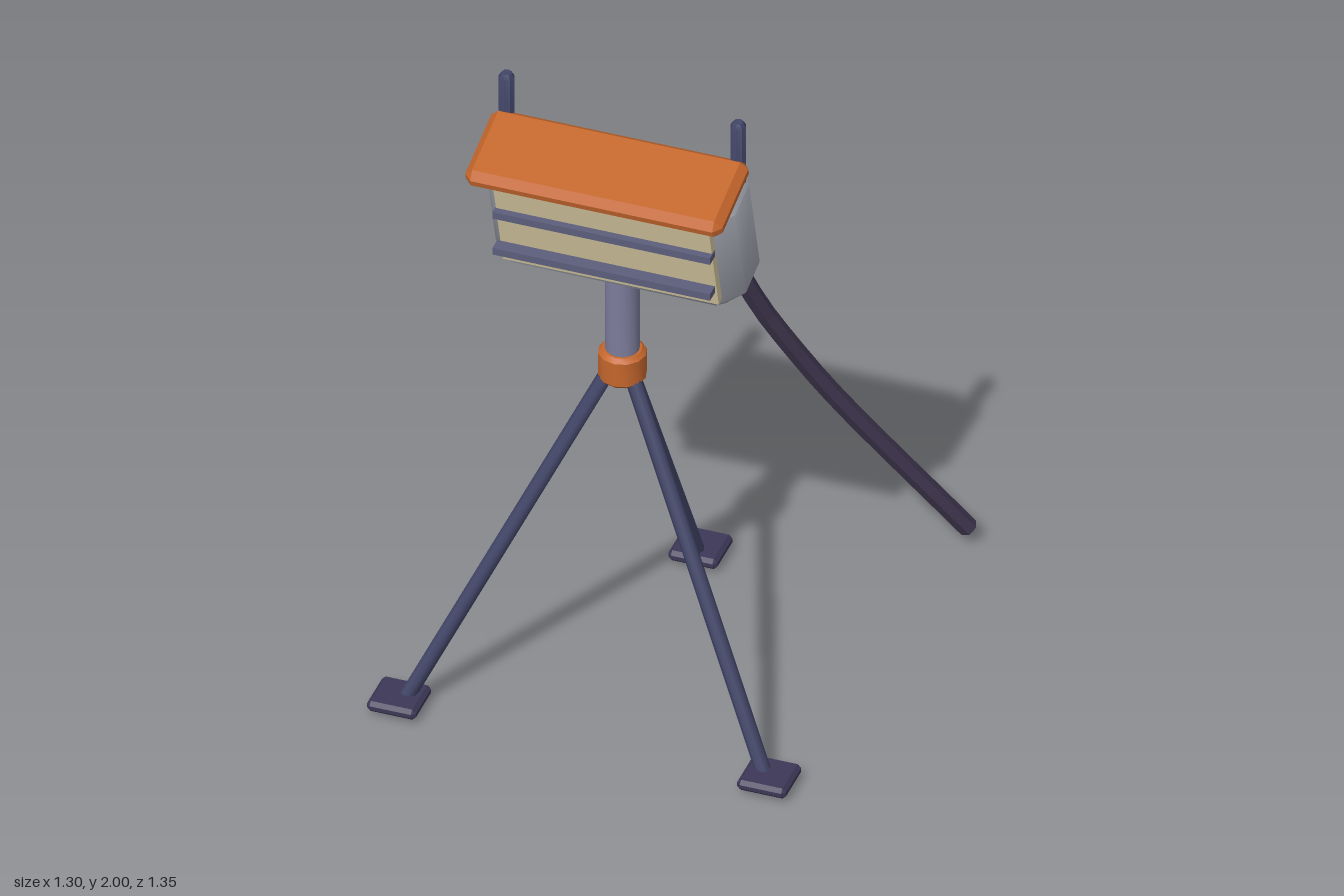
import * as THREE from 'three';
import { ConvexGeometry } from 'three/addons/geometries/ConvexGeometry.js';
import { toCreasedNormals } from 'three/addons/utils/BufferGeometryUtils.js';

const CX = -0.04, CZ = 0.3; // axis of the stand
const mat = (color, flatShading = false) => new THREE.MeshStandardMaterial({ color, flatShading });
const grey = mat(0xa2a5b0), orange = mat(0xc4662c), cream = mat(0xd8cba2), steel = mat(0x7c7c9c);
const legMat = mat(0x424668), dark = mat(0x3d3756), barMat = mat(0x5c5e7c), cableMat = mat(0x40364f, true);

function add(parent, name, geo, material, x = 0, y = 0, z = 0) {
  const m = new THREE.Mesh(geo, material);
  m.name = name;
  m.position.set(x, y, z);
  parent.add(m);
  return m;
}

// Box with every edge cut at 45 degrees
function chamferBox(w, h, d, c) {
  const pts = [], half = [w / 2, h / 2, d / 2];
  for (const sx of [-1, 1]) for (const sy of [-1, 1]) for (const sz of [-1, 1])
    for (let full = 0; full < 3; full++) {
      const p = half.map((v, i) => (i === full ? v : v - c));
      pts.push(new THREE.Vector3(sx * p[0], sy * p[1], sz * p[2]));
    }
  return new ConvexGeometry(pts);
}

// Solid turned from [radius, y] pairs, with crisp rims
function turned(points, sides) {
  const geo = new THREE.LatheGeometry(points.map(([r, y]) => new THREE.Vector2(r, y)), sides);
  return toCreasedNormals(geo, 0.6);
}

// Round bar between two points
function rod(parent, name, a, b, r, material, sides = 8) {
  const dir = b.clone().sub(a);
  const geo = toCreasedNormals(new THREE.CylinderGeometry(r, r, dir.length(), sides), 0.9);
  const m = add(parent, name, geo, material);
  m.position.copy(a).add(b).multiplyScalar(0.5);
  m.quaternion.setFromUnitVectors(new THREE.Vector3(0, 1, 0), dir.normalize());
}

export function createModel() {
  const model = new THREE.Group();
  model.name = 'tripodLamp';

  // Tripod legs and feet
  const legs = [['rightLeg', -0.54, 0.31], ['leftLeg', 0.54, 0.31], ['backLeg', 0, -0.63]];
  for (const [name, dx, dz] of legs) {
    const leg = new THREE.Group();
    leg.name = name;
    model.add(leg);
    rod(leg, name + 'Tube', new THREE.Vector3(CX + dx * 0.05, 1.09, CZ + dz * 0.05),
      new THREE.Vector3(CX + dx * 0.985, 0.015, CZ + dz * 0.985), 0.022, legMat);
    add(leg, name + 'Foot', chamferBox(0.143, 0.034, 0.143, 0.011), dark, CX + dx, 0.036, CZ + dz);
  }

  // Collar and column
  add(model, 'collar', turned([[0, 1.05], [0.056, 1.05], [0.068, 1.062], [0.068, 1.138], [0.056, 1.15], [0, 1.15]], 12),
    orange, CX, 0, CZ);
  add(model, 'column', turned([[0, 1.1], [0.048, 1.1], [0.048, 1.4], [0, 1.4]], 16), steel, CX, 0, CZ);

  // Head, tilted to face slightly downward
  const head = new THREE.Group();
  head.name = 'head';
  head.position.set(CX, 1.61, CZ);
  head.rotation.x = 0.262;
  model.add(head);
  add(head, 'housing', toCreasedNormals(chamferBox(0.73, 0.464, 0.245, 0.065), 0.9), grey);
  add(head, 'lid', chamferBox(0.75, 0.062, 0.262, 0.022), orange, 0, 0.24, 0.064);
  add(head, 'frontPanel', new THREE.BoxGeometry(0.63, 0.384, 0.026), cream, 0, 0.048, 0.122);

  // Level bars across the panel
  for (const y of [1.76, 1.637, 1.515])
    add(model, 'panelBar', new THREE.BoxGeometry(0.635, 0.022, 0.04), barMat, CX, y, 0.452);

  // Upright pins through the lid
  for (const s of [-1, 1])
    add(model, s < 0 ? 'rightPin' : 'leftPin',
      turned([[0, 1.8], [0.023, 1.8], [0.023, 1.985], [0.014, 2], [0, 2]], 8), legMat, CX + s * 0.338, 0, CZ);

  // Cable from the back of the housing to the ground
  const path = new THREE.CatmullRomCurve3([
    [-0.037, 1.635, 0.15], [0.04, 1.37, -0.065], [0.088, 1.225, -0.145], [0.165, 0.945, -0.262],
    [0.22, 0.8, -0.325], [0.32, 0.58, -0.42], [0.628, 0.05, -0.648],
  ].map((p) => new THREE.Vector3(...p)));
  add(model, 'cable', new THREE.TubeGeometry(path, 20, 0.028, 6), cableMat);
  for (const t of [0, 1]) {
    const end = path.getPoint(t), out = path.getTangent(t).multiplyScalar(t ? 1 : -1);
    const cap = add(model, 'cableEnd', new THREE.CircleGeometry(0.028, 6), cableMat, end.x, end.y, end.z);
    cap.lookAt(end.clone().add(out));
  }
  return model;
}
